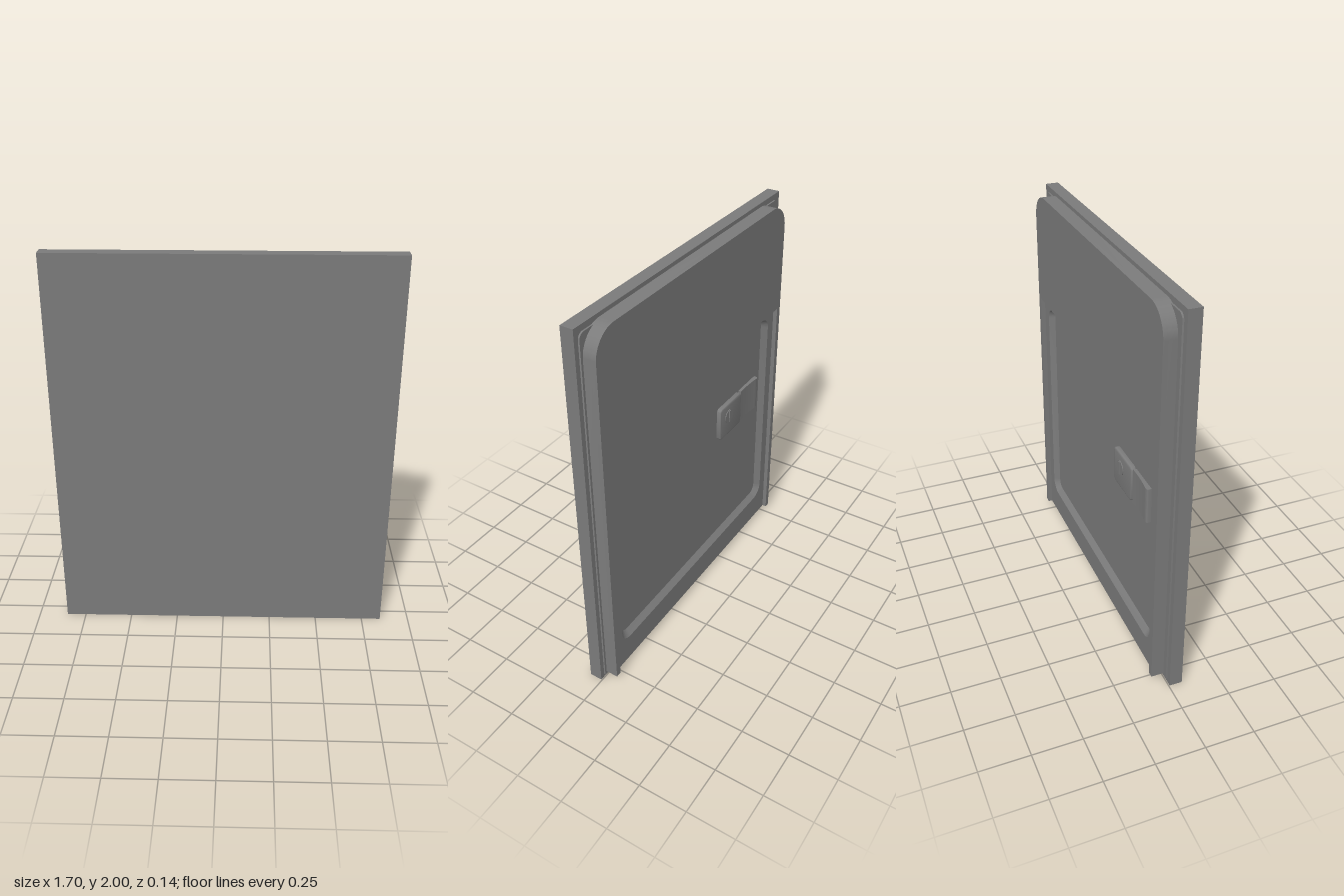
import * as THREE from 'three';
import { toCreasedNormals } from 'three/addons/utils/BufferGeometryUtils.js';

const steel = new THREE.MeshStandardMaterial({ color: 0x7b7b7b });
const steelDouble = new THREE.MeshStandardMaterial({ color: 0x7b7b7b, side: THREE.DoubleSide });

// Rectangle with separate top and bottom corner radii
function roundRect(x0, x1, y0, y1, rTop, rBottom = rTop, Type = THREE.Shape) {
  const s = new Type();
  const h = Math.PI / 2;
  const corner = (x, y, r, a) => (r > 0 ? s.absarc(x, y, r, a, a + h, false) : s.lineTo(x, y));
  s.moveTo(x0 + rBottom, y0);
  s.lineTo(x1 - rBottom, y0);
  corner(x1 - rBottom, y0 + rBottom, rBottom, -h);
  s.lineTo(x1, y1 - rTop);
  corner(x1 - rTop, y1 - rTop, rTop, 0);
  s.lineTo(x0 + rTop, y1);
  corner(x0 + rTop, y1 - rTop, rTop, h);
  s.lineTo(x0, y0 + rBottom);
  corner(x0 + rBottom, y0 + rBottom, rBottom, 2 * h);
  return s;
}

// Plate cut from a shape, spanning z0 to z1
function plate(shape, z0, z1) {
  const g = new THREE.ExtrudeGeometry(shape, { depth: z1 - z0, bevelEnabled: false, curveSegments: 12 });
  g.translate(0, 0, z0);
  return toCreasedNormals(g, 0.5);
}

// Outline points without near-duplicates where lines meet arcs
function outline(shape) {
  return shape.getPoints(12).filter((p, i, all) => i === 0 || p.distanceTo(all[i - 1]) > 1e-6);
}

// Sloped wall joining two matching outlines
function slopedWall(a, za, b, zb) {
  const pa = outline(a), pb = outline(b), pos = [], idx = [];
  pa.forEach((p, i) => pos.push(p.x, p.y, za, pb[i].x, pb[i].y, zb));
  for (let i = 0; i < pa.length - 1; i++) {
    const k = 2 * i;
    idx.push(k, k + 1, k + 2, k + 1, k + 3, k + 2);
  }
  const g = new THREE.BufferGeometry();
  g.setAttribute('position', new THREE.Float32BufferAttribute(pos, 3));
  g.setIndex(idx);
  g.computeVertexNormals();
  return toCreasedNormals(g, 0.5);
}

export function createModel() {
  const group = new THREE.Group();
  const add = (name, geometry, parent = group, material = steel) => {
    const m = new THREE.Mesh(geometry, material);
    m.name = name;
    parent.add(m);
    return m;
  };

  const X0 = -0.79, X1 = 0.813, Y0 = 0.03, Y1 = 1.98;
  const zBack = -0.067, zFrame = -0.045, zFloor = -0.018, zSlab = 0.005;
  const lipY = 1.393, lipInnerY = 1.373, rim = 0.03, radius = 0.13;

  // Outer door slab
  const slab = add('frontPanel', new THREE.BoxGeometry(1.7, 2, 0.07 - zSlab));
  slab.position.set(0, 1, (0.07 + zSlab) / 2);

  // Thin flange between slab and inner door
  add('flange', plate(roundRect(-0.82, 0.825, 0.02, 1.97, 0.03, 0), -0.003, zSlab));

  // Inner door frame with the opening for the recess
  const rect = [-0.705, 0.722, 0.17, 1.367];
  const frame = roundRect(X0, X1, Y0, Y1, radius, 0);
  frame.holes.push(roundRect(...rect, 0.07, 0.07, THREE.Path));
  add('innerFrame', plate(frame, zFrame, zSlab));

  // Recessed panel with sloped sides and a steeper top edge
  const inset = 0.03;
  const outer = roundRect(...rect, 0.07);
  const inner = roundRect(rect[0] + inset, rect[1] - inset, rect[2] + inset, rect[3] - 0.012, 0.045);
  add('recessWall', slopedWall(outer, zFrame, inner, zFloor), group, steelDouble);
  add('recessFloor', plate(inner, zFloor, zSlab));

  // Raised upper panel and the side rims running down from it
  add('upperPanel', plate(roundRect(X0, X1, lipY, Y1, radius, 0), zBack, zFrame));
  for (const x of [X0, X1 - rim]) {
    add('sideRim', plate(roundRect(x, x + rim, Y0, lipY, 0), zBack, zFrame));
  }

  // Slanted underside of the upper panel
  const wedge = new THREE.Shape([[-zBack, lipY], [-zFrame, lipY], [-zFrame, lipInnerY]]
    .map(([x, y]) => new THREE.Vector2(x, y)));
  const lip = plate(wedge, X0 + rim, X1 - rim);
  lip.rotateY(Math.PI / 2);
  add('panelLip', lip);

  // Dispenser: flat cover beside a scooped lid
  const dispenser = new THREE.Group();
  dispenser.name = 'dispenser';
  group.add(dispenser);
  const zCover = -0.042;
  const bevel = 0.008;
  const cover = new THREE.ExtrudeGeometry(roundRect(-0.433, -0.231, 0.848, 1.022, 0.012), {
    depth: zFloor - zCover - bevel, bevelThickness: bevel, bevelSize: bevel, bevelSegments: 3, curveSegments: 6,
  });
  cover.translate(0, 0, zCover + bevel);
  add('dispenserCover', toCreasedNormals(cover, 0.6), dispenser);

  const scoop = new THREE.Shape();
  scoop.moveTo(-0.622, -zFloor);
  scoop.lineTo(-0.447, -zFloor);
  scoop.lineTo(-0.447, 0.035);
  scoop.quadraticCurveTo(-0.53, 0.032, -0.605, 0.042);
  scoop.quadraticCurveTo(-0.622, 0.042, -0.622, 0.034);
  const lid = plate(scoop, 0.842, 1.028);
  lid.rotateX(-Math.PI / 2);
  add('dispenserLid', lid, dispenser);

  // Round knob with a grip bar
  const knob = new THREE.Group();
  knob.name = 'dispenserKnob';
  knob.position.set(-0.308, 0.955, zCover);
  dispenser.add(knob);
  const disc = add('knobDisc', new THREE.CylinderGeometry(0.038, 0.038, 0.008, 32), knob);
  disc.rotation.x = Math.PI / 2;
  add('knobGrip', new THREE.BoxGeometry(0.012, 0.07, 0.018), knob);

  return group;
}
